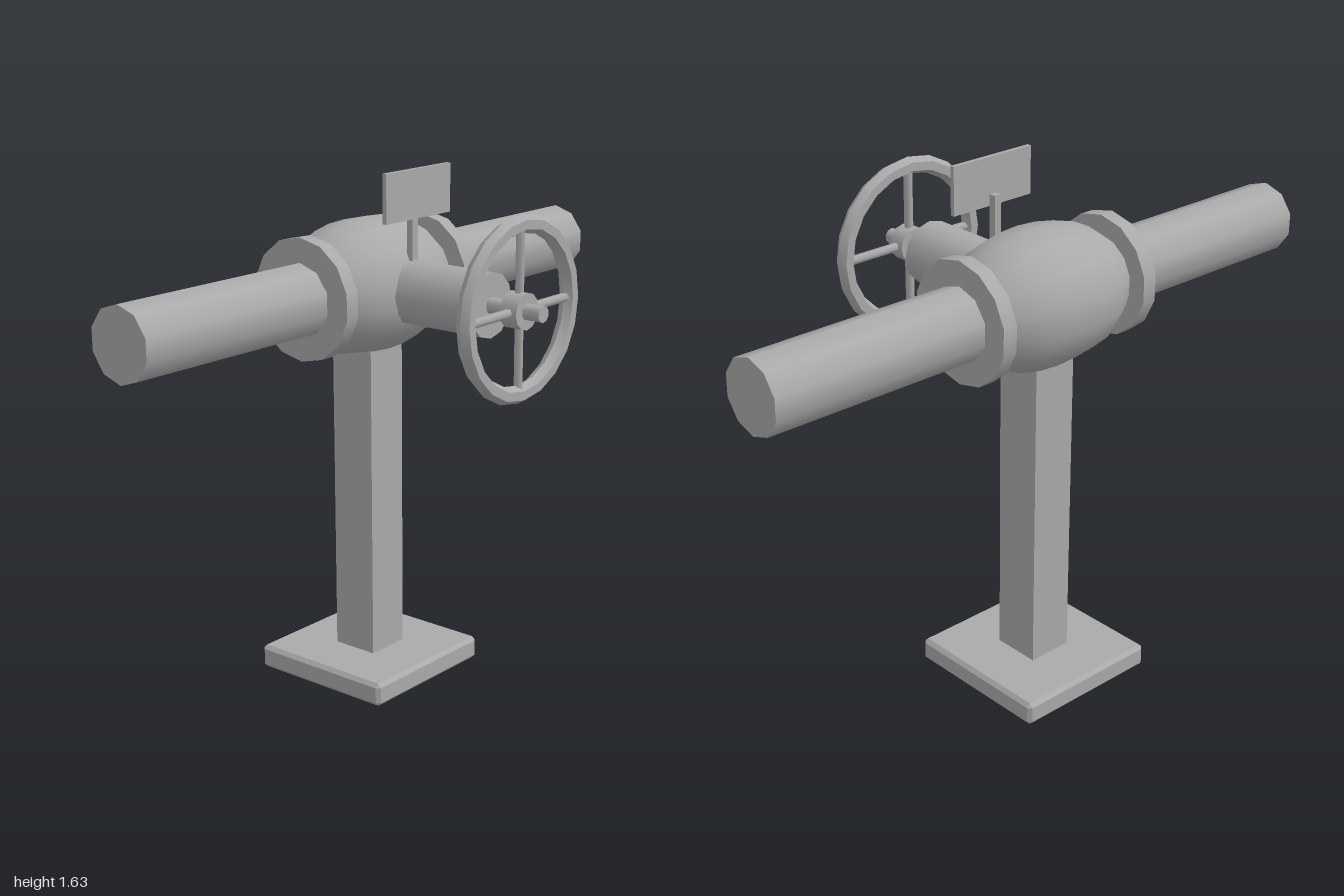
import * as THREE from 'three';
import { toCreasedNormals } from 'three/addons/utils/BufferGeometryUtils.js';
import { ConvexGeometry } from 'three/addons/geometries/ConvexGeometry.js';

const AXIS_Y = 1.255; // height of the pipe and stem
const AXIS_Z = -0.205; // depth of the pipe and post

export function createModel() {
  const model = new THREE.Group();
  model.name = 'pipeValve';
  const grey = new THREE.MeshStandardMaterial({ color: 0xaaaaaa });
  grey.name = 'grey';

  const add = (name, geometry, x, y, z, parent = model) => {
    const mesh = new THREE.Mesh(geometry, grey);
    mesh.name = name;
    mesh.position.set(x, y, z);
    parent.add(mesh);
    return mesh;
  };
  // Turns a geometry made around y so that it runs along x, with a corner at the top
  const alongX = (g) => g.rotateX(Math.PI / 2).rotateY(Math.PI / 2);
  // Cylinder along z between two depths
  const addAlongZ = (name, r, z0, z1, sides) =>
    add(name, new THREE.CylinderGeometry(r, r, z1 - z0, sides).rotateX(Math.PI / 2), 0, AXIS_Y, (z0 + z1) / 2);

  // Box with every edge chamfered
  const chamferedBox = (w, h, d, c) => {
    const points = [];
    for (const sx of [-1, 1]) for (const sy of [-1, 1]) for (const sz of [-1, 1]) {
      for (const [a, b, e] of [[0, c, c], [c, 0, c], [c, c, 0]]) {
        points.push(new THREE.Vector3(sx * (w / 2 - a), sy * (h / 2 - b), sz * (d / 2 - e)));
      }
    }
    return new ConvexGeometry(points);
  };

  // Stand
  add('base', chamferedBox(0.495, 0.075, 0.495, 0.012), 0, 0.0375, AXIS_Z);
  add('post', new THREE.BoxGeometry(0.147, 1.05, 0.153), 0, 0.595, AXIS_Z);

  // Pipe with a flange on each side of the valve
  add('pipe', alongX(new THREE.CylinderGeometry(0.111, 0.111, 2, 10)), 0, AXIS_Y, AXIS_Z);
  for (const side of [-1, 1]) {
    add(side > 0 ? 'leftFlange' : 'rightFlange',
      alongX(new THREE.CylinderGeometry(0.186, 0.186, 0.048, 14)), side * 0.274, AXIS_Y, AXIS_Z);
  }

  // Bulging valve body
  const half = [[0.27, 0.11], [0.25, 0.127], [0.2, 0.163], [0.14, 0.192], [0.07, 0.205]];
  const profile = [
    ...half.map(([x, r]) => new THREE.Vector2(r, -x)),
    new THREE.Vector2(0.209, 0),
    ...half.slice().reverse().map(([x, r]) => new THREE.Vector2(r, x)),
  ];
  add('valveBody', alongX(new THREE.LatheGeometry(profile, 14)), 0, AXIS_Y, AXIS_Z);

  // Bonnet and stem
  addAlongZ('bonnet', 0.099, -0.15, 0.27, 12);
  addAlongZ('stem', 0.025, 0.25, 0.455, 10);

  // Hand wheel
  addAlongZ('wheelHub', 0.055, 0.34, 0.398, 12);
  const wheel = new THREE.Group();
  wheel.name = 'handWheel';
  wheel.position.set(0, AXIS_Y, 0.37);
  model.add(wheel);
  add('rim', toCreasedNormals(new THREE.TorusGeometry(0.25, 0.027, 6, 20), 0.7), 0, 0, 0, wheel);
  for (let i = 0; i < 4; i++) {
    const spoke = add('spoke', new THREE.CylinderGeometry(0.014, 0.014, 0.22, 6).translate(0, 0.14, 0), 0, 0, 0, wheel);
    spoke.rotation.z = i * Math.PI / 2;
  }

  // Sign plate on its bracket
  add('signBracket', new THREE.BoxGeometry(0.025, 0.215, 0.022), 0, 1.4075, -0.025);
  add('signPlate', new THREE.BoxGeometry(0.297, 0.147, 0.014), 0, 1.553, -0.007);

  return model;
}
